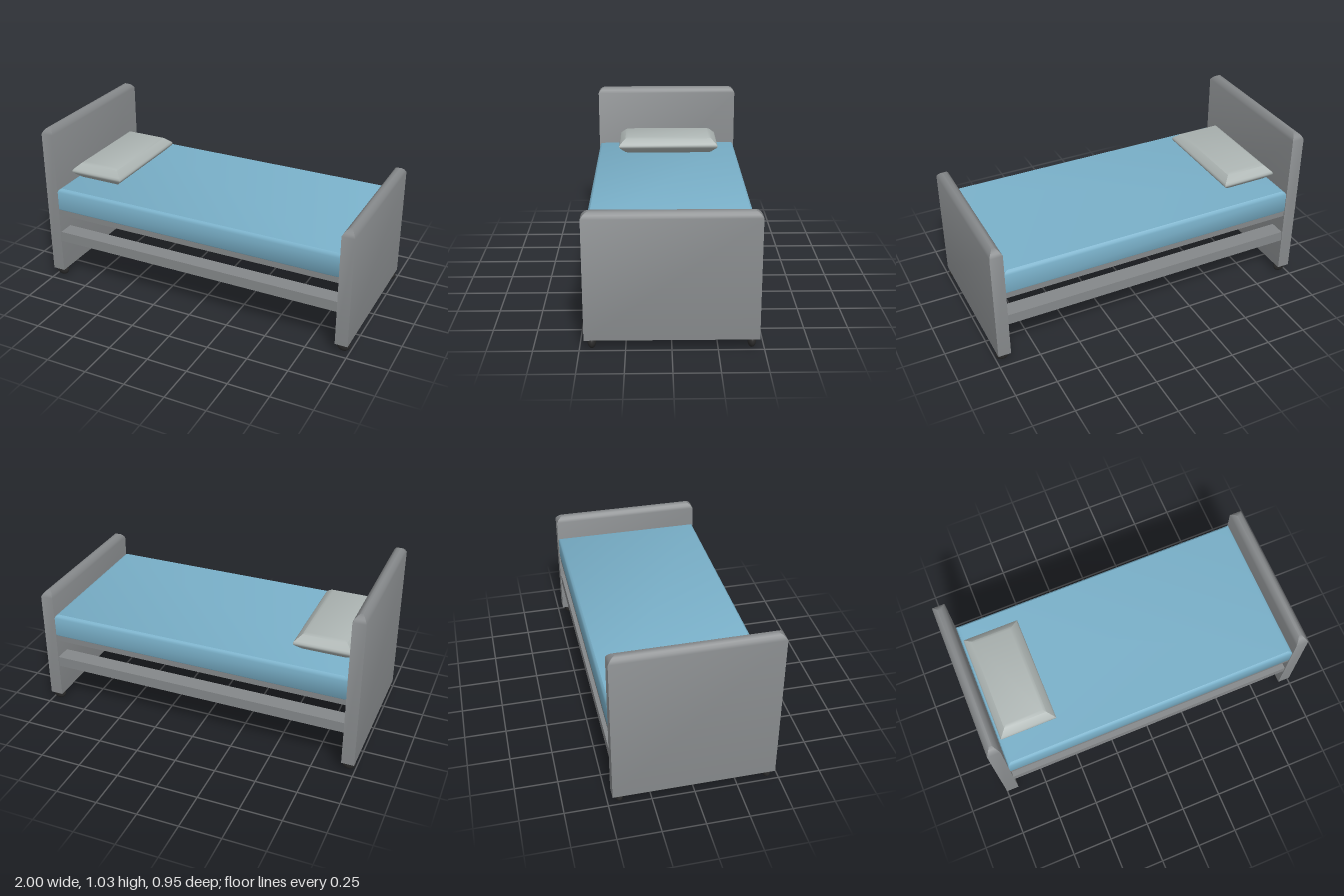
import * as THREE from 'three';
import { toCreasedNormals } from 'three/addons/utils/BufferGeometryUtils.js';

const mat = (name, color) => {
  const m = new THREE.MeshStandardMaterial({ color });
  m.name = name;
  return m;
};

// Stack of rectangles: each ring is [y, inset in x, inset in z]
function loftGeometry(x0, x1, z0, z1, rings) {
  const pos = [];
  const loops = rings.map(([y, ix, iz]) => [
    [x1 - ix, y, z1 - iz], [x1 - ix, y, z0 + iz],
    [x0 + ix, y, z0 + iz], [x0 + ix, y, z1 - iz],
  ]);
  const quad = (a, b, c, d) => pos.push(...a, ...b, ...c, ...a, ...c, ...d);
  for (let i = 0; i < loops.length - 1; i++) {
    for (let k = 0; k < 4; k++) {
      const n = (k + 1) % 4;
      quad(loops[i][k], loops[i][n], loops[i + 1][n], loops[i + 1][k]);
    }
  }
  const bottom = loops[0], top = loops[loops.length - 1];
  quad(top[0], top[1], top[2], top[3]);
  quad(bottom[3], bottom[2], bottom[1], bottom[0]);
  const g = new THREE.BufferGeometry();
  g.setAttribute('position', new THREE.Float32BufferAttribute(pos, 3));
  return toCreasedNormals(g, 0.65);
}

export function createModel() {
  const bed = new THREE.Group();
  bed.name = 'bed';
  const frameGrey = mat('frame grey', 0x85888a);
  const blanketBlue = mat('mattress blue', 0x7ab1ca);
  const pillowGrey = mat('pillow grey', 0xadb5b3);
  const rubberBlack = mat('caster black', 0x2b2b2b);

  const add = (name, geometry, material, x = 0, y = 0, z = 0) => {
    const m = new THREE.Mesh(geometry, material);
    m.name = name;
    m.position.set(x, y, z);
    bed.add(m);
    return m;
  };

  // End panels with bevelled tops
  const panel = (name, x0, x1, top) => add(name, loftGeometry(x0, x1, -0.475, 0.475, [
    [0.058, 0, 0], [top - 0.037, 0, 0], [top - 0.02, 0.009, 0.012],
    [top - 0.008, 0.019, 0.025], [top, 0.03, 0.043],
  ]), frameGrey);
  panel('headboard', -1, -0.923, 1.027);
  panel('footboard', 0.919, 0.996, 0.787);

  // Base under the mattress and the two lower side rails
  add('bedBase', new THREE.BoxGeometry(1.86, 0.04, 0.934), frameGrey, 0, 0.475, 0);
  for (const s of [1, -1]) {
    add(s > 0 ? 'frontRail' : 'backRail',
      new THREE.BoxGeometry(1.86, 0.065, 0.1), frameGrey, 0, 0.302, s * 0.42);
  }

  // Mattress with softened upper edges
  add('mattress', loftGeometry(-0.923, 0.92, -0.471, 0.471, [
    [0.488, 0.012, 0.006], [0.497, 0, 0], [0.612, 0, 0],
    [0.627, 0.006, 0.005], [0.636, 0.024, 0.016],
  ]), blanketBlue);

  // Pillow
  add('pillow', loftGeometry(-0.905, -0.56, -0.337, 0.325, [
    [0.643, 0.06, 0.06], [0.652, 0.042, 0.042], [0.685, 0.007, 0.007], [0.695, 0, 0],
    [0.704, 0, 0], [0.714, 0.007, 0.007], [0.746, 0.042, 0.042], [0.755, 0.06, 0.06],
  ]), pillowGrey);

  // Casters
  const wheel = new THREE.SphereGeometry(1, 20, 14).scale(0.04, 0.04, 0.024);
  for (const x of [-0.96, 0.96]) {
    for (const z of [-0.433, 0.433]) add('caster', wheel, rubberBlack, x, 0.04, z);
  }
  return bed;
}
